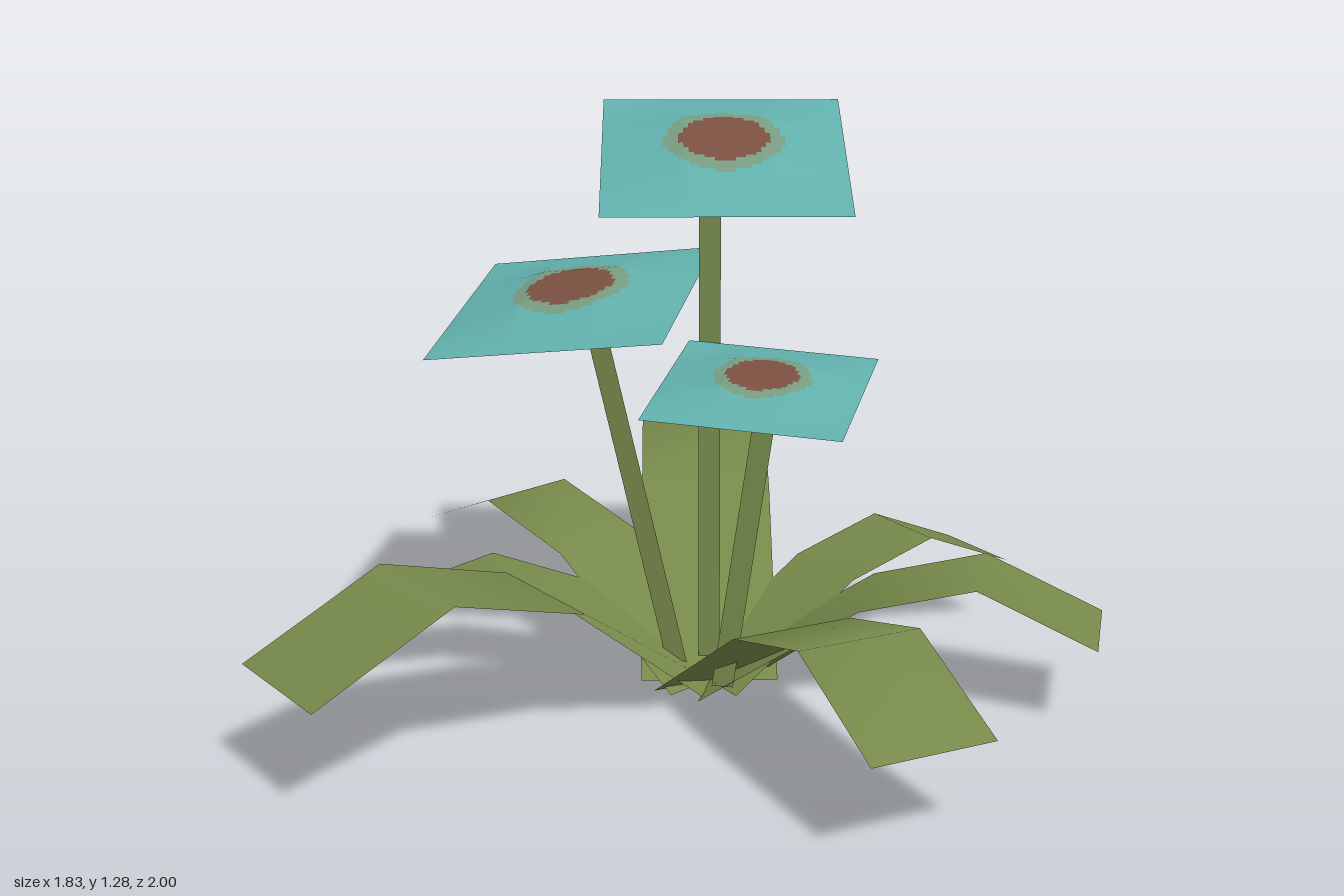
import * as THREE from 'three';

const make = (name, color) => {
  const m = new THREE.MeshStandardMaterial({ color, side: THREE.DoubleSide });
  m.name = name;
  return m;
};

// Grid surface from point(u, v); pick(u, v) gives the material index of each cell
function sheet(nu, nv, point, pick = () => 0) {
  const pos = [], cells = [[], [], []];
  for (let j = 0; j <= nv; j++)
    for (let i = 0; i <= nu; i++) pos.push(...point(i / nu, j / nv).toArray());
  for (let j = 0; j < nv; j++)
    for (let i = 0; i < nu; i++) {
      const a = j * (nu + 1) + i, b = a + nu + 1;
      cells[pick((i + 0.5) / nu, (j + 0.5) / nv)].push(a, b, a + 1, b, b + 1, a + 1);
    }
  const g = new THREE.BufferGeometry();
  g.setAttribute('position', new THREE.Float32BufferAttribute(pos, 3));
  g.setIndex(cells.flat());
  let start = 0;
  cells.forEach((c, k) => {
    if (c.length) g.addGroup(start, c.length, k);
    start += c.length;
  });
  g.computeVertexNormals();
  return g;
}

export function createModel() {
  const green = make('leafGreen', 0x76894a);
  const teal = make('petalTeal', 0x60aeab);
  const ring = make('ringSage', 0x769a80);
  const brown = make('centreBrown', 0x7a4f40);
  const V = (x, y, z) => new THREE.Vector3(x, y, z);
  const model = new THREE.Group();
  const add = (name, geometry, material) => {
    const mesh = new THREE.Mesh(geometry, material);
    mesh.name = name;
    model.add(mesh);
  };

  // Leaves: flat strips that rise, crest and droop; [tip x, tip z, width, crest height]
  const base = V(0.035, 0, 0.08);
  const profile = [[0, 0], [0.41, 0.78], [0.7, 1], [1, 0.63]];
  const leaves = {
    backLeaf: [0.035, -1.0, 0.31, 0.41],
    backRightLeaf: [-0.59, -0.575, 0.244, 0.31],
    rightLeaf: [-0.697, -0.015, 0.205, 0.25],
    frontRightLeaf: [-0.83, 0.695, 0.31, 0.395],
    frontLeaf: [0.435, 0.94, 0.277, 0.34],
    leftLeaf: [0.877, 0.28, 0.25, 0.31],
    backLeftLeaf: [0.7, -0.335, 0.217, 0.27],
  };
  for (const [name, [x, z, width, height]] of Object.entries(leaves)) {
    const along = V(x - base.x, 0, z - base.z);
    const across = V(along.z, 0, -along.x).normalize();
    add(name, sheet(1, 3, (u, v) => {
      const [d, h] = profile[Math.round(v * 3)];
      return base.clone().addScaledVector(along, d)
        .addScaledVector(across, (u - 0.5) * width).setY(h * height);
    }), green);
  }

  // Flowers: tilted squares with a raised middle, each on a flat ribbon stem
  const flowers = [
    { name: 'tall', a: V(-0.2, 1.28, -0.235), b: V(-0.2, 1.1, 0.25), d: V(0.33, 1.28, -0.235),
      rise: 0.045, foot: V(0.035, 0.04, 0.03), top: V(0.035, 1.225, 0.01) },
    { name: 'middle', a: V(-0.46, 0.885, -0.32), b: V(-0.58, 0.78, 0.18), d: V(0.05, 0.95, -0.19),
      rise: 0.04, foot: V(-0.04, 0.04, 0.06), top: V(-0.235, 0.895, 0.03) },
    { name: 'short', a: V(-0.01, 0.78, 0.01), b: V(-0.12, 0.71, 0.405), d: V(0.4, 0.76, 0.105),
      rise: 0.033, foot: V(0.06, 0.04, 0.21), top: V(0.165, 0.765, 0.195) },
  ];
  const bump = (t) => Math.min(1, 3 * t, 3 * (1 - t));
  for (const { name, a, b, d, rise, foot, top } of flowers) {
    const across = d.clone().sub(a), down = b.clone().sub(a);
    const normal = down.clone().cross(across).normalize();
    add(name + 'Flower', sheet(48, 48,
      (u, v) => a.clone().addScaledVector(across, u).addScaledVector(down, v)
        .addScaledVector(normal, rise * bump(u) * bump(v)),
      (u, v) => {
        const r = Math.hypot(u - 0.5, v - 0.5);
        return r < 0.18 ? 2 : r < 0.245 ? 1 : 0;
      }), [teal, ring, brown]);

    const side = V(across.x, 0, across.z).normalize();
    add(name + 'Stem', sheet(1, 1, (u, v) =>
      top.clone().lerp(foot, v).addScaledVector(side, (u - 0.5) * 0.048)), green);
  }
  return model;
}
